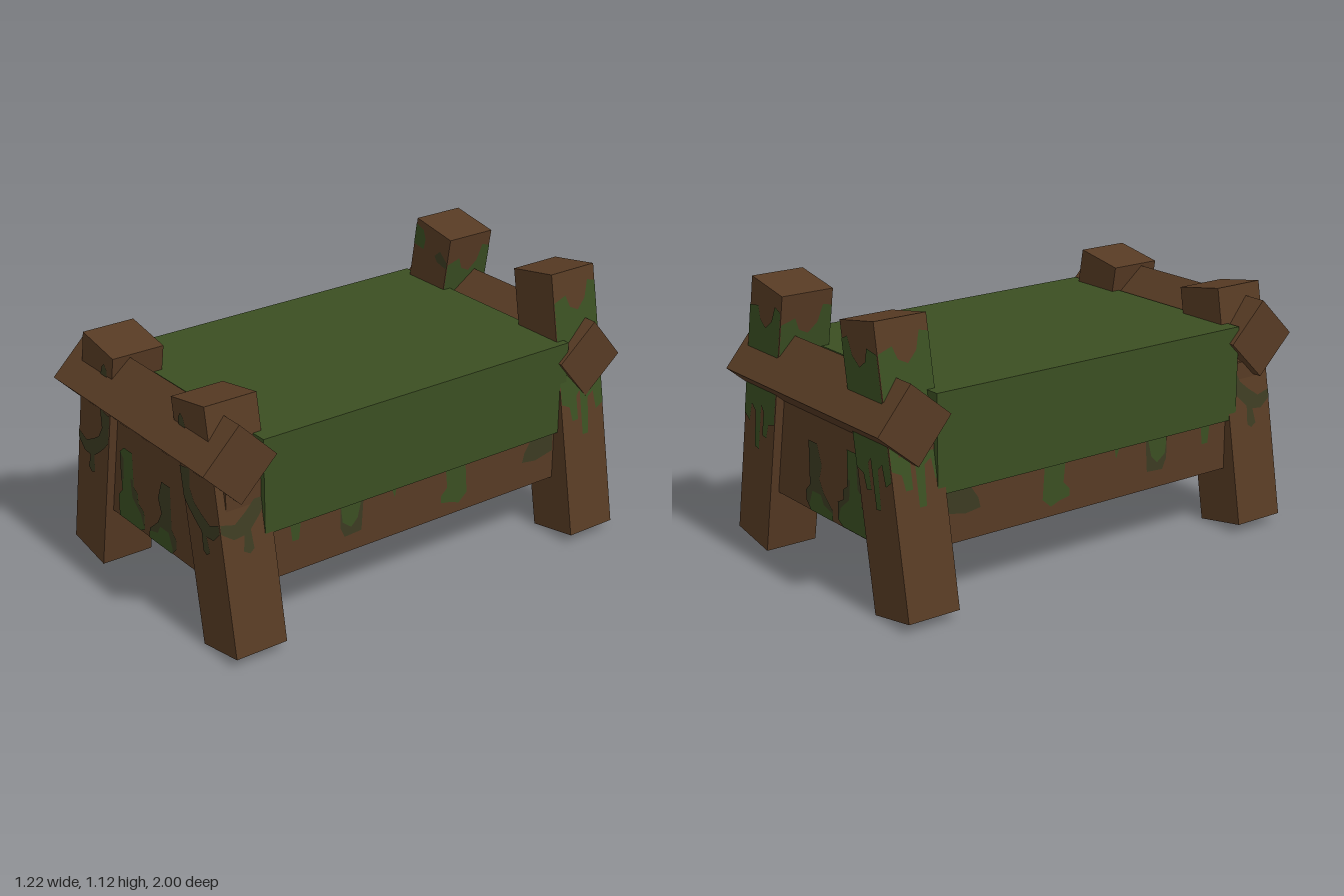
import * as THREE from 'three';

const wood = new THREE.MeshStandardMaterial({ color: 0x573b24 });
const cloth = new THREE.MeshStandardMaterial({ color: 0x3b4f22 });
const moss = new THREE.MeshStandardMaterial({ color: 0x3a4f22 });
const darkMoss = new THREE.MeshStandardMaterial({ color: 0x3c3b22 });
wood.name = 'wood';
cloth.name = 'greenCloth';
moss.name = 'moss';
darkMoss.name = 'darkMoss';

function box(name, mat, w, h, d, x, y, z) {
  const m = new THREE.Mesh(new THREE.BoxGeometry(w, h, d), mat);
  m.name = name;
  m.position.set(x, y, z);
  return m;
}

// Flat stain facing +z, given as [x, y] points; flip mirrors it in x
function stain(name, mat, points, flip = 1) {
  const shape = new THREE.Shape(points.map(([x, y]) => new THREE.Vector2(x * flip, y)));
  const m = new THREE.Mesh(new THREE.ShapeGeometry(shape), mat);
  m.name = name;
  return m;
}

// Stain outlines on the legs, x across the face and y up the leg
const BRANCH = [[-.11, .525], [-.05, .51], [0, .545], [.04, .58], [.06, .63], [.04, .71], [.11, .71],
  [.11, .585], [.085, .55], [.05, .51], [.015, .475], [.02, .40], [0, .385], [-.025, .40],
  [-.015, .46], [-.06, .455], [-.11, .49]];
const DRIPS = [[-.11, .70], [.11, .70], [.11, .56], [.07, .54], [.06, .48], [.03, .48], [.03, .58],
  [.01, .6], [.01, .41], [-.02, .41], [-.03, .56], [-.06, .58], [-.07, .5], [-.11, .52]];
const DRAPE = [[-.11, .76], [.11, .76], [.11, 1.03], [.07, 1.04], [.05, .97], [.01, .93], [-.03, .95],
  [-.05, 1.0], [-.11, .98]];
const CORNER = [[-.11, .98], [-.045, .98], [-.04, 1.03], [-.06, 1.065], [-.11, 1.075]];
const SPOT = [[.03, .985], [.05, .965], [.11, .96], [.11, .99], [.06, 1.02]];
const LOW_SPOT = [[.03, .85], [.08, .85], [.075, .9], [.055, .92], [.04, .9]];

const SIZE = 0.223, HALF = SIZE / 2 + 0.003;

// Leaning leg; side is -1 or +1 in x
function leg(name, side, x, z, height, isBack) {
  const g = new THREE.Group();
  g.name = name;
  g.add(box('post', wood, SIZE, height, SIZE, 0, height / 2, 0));
  // Places a stain on the face turned by angle about the leg
  const put = (mat, pts, angle, flip) => {
    const s = stain('legStain', mat, pts, flip);
    s.rotation.y = angle;
    s.position.set(Math.sin(angle) * HALF, 0, Math.cos(angle) * HALF);
    g.add(s);
  };
  const outer = side * Math.PI / 2;
  if (isBack) {
    put(moss, DRIPS, Math.PI, side);
    put(moss, DRAPE, Math.PI, side);
    put(moss, DRIPS, outer, -1);
    put(moss, DRAPE, outer, 1);
    put(moss, DRAPE, -outer, 1);
    if (side < 0) {
      put(moss, CORNER, 0, 1);
      put(darkMoss, SPOT, 0, 1);
    }
  } else {
    put(darkMoss, BRANCH, 0, -side);
    put(darkMoss, LOW_SPOT, 0, -side);
    put(darkMoss, BRANCH, outer, side);
  }
  g.position.set(x, 0.02, z);
  g.rotation.z = side * THREE.MathUtils.degToRad(10);
  return g;
}

export function createModel() {
  const model = new THREE.Group();
  model.name = 'bed';

  // Wooden base and covering blanket
  const baseW = 0.985, baseX = -0.015, baseZ = 0.885;
  model.add(box('base', wood, baseW, 0.435, baseZ * 2, baseX, 0.4725, 0));
  model.add(box('blanket', cloth, 1.03, 0.385, 1.466, -0.015, 0.6575, 0));

  // Turned crossbars at both ends
  const frontBar = box('frontCrossbar', wood, 1.065, SIZE, SIZE, -0.0175, 0.787, 0.843);
  frontBar.rotation.x = Math.PI / 4;
  const backBar = box('backCrossbar', wood, 1.065, SIZE, SIZE, -0.0175, 0.757, -0.842);
  backBar.rotation.x = Math.PI / 4 - 0.09;
  model.add(frontBar, backBar);

  // Legs, the back pair taller
  model.add(
    leg('frontRightLeg', -1, -0.5, 0.808, 0.97, false),
    leg('frontLeftLeg', 1, 0.466, 0.808, 0.97, false),
    leg('backRightLeg', -1, -0.5, -0.81, 1.097, true),
    leg('backLeftLeg', 1, 0.5, -0.81, 1.097, true));

  // Stains on the end boards
  const endStains = [
    [moss, .003, [[-.29, .258], [-.29, .35], [-.26, .38], [-.26, .55], [-.23, .575], [-.17, .575], [-.17, .43],
      [-.14, .41], [-.14, .37], [-.1, .35], [-.1, .275], [-.13, .258]]],
    [darkMoss, .005, [[-.19, .46], [-.17, .46], [-.17, .43], [-.14, .41], [-.14, .37], [-.1, .35], [-.1, .275],
      [-.12, .33], [-.18, .38]]],
    [darkMoss, .005, [[-.26, .42], [-.26, .55], [-.235, .53], [-.24, .44]]],
    [darkMoss, .003, [[-.06, .27], [-.06, .3], [0, .35], [.03, .4], [.01, .46], [.04, .54], [.1, .54], [.1, .36],
      [.13, .33], [.13, .29], [.1, .258], [-.05, .258]]],
    [moss, .005, [[-.065, .258], [-.06, .29], [0, .305], [.02, .34], [.08, .34], [.105, .28], [.1, .258]]],
  ];
  for (const end of [1, -1]) {
    for (const [mat, lift, pts] of endStains) {
      const s = stain('endStain', mat, pts, end);
      s.position.z = end * (baseZ + lift);
      if (end < 0) s.rotation.y = Math.PI;
      model.add(s);
    }
  }

  // Stains hanging below the blanket on the long sides, x running along z
  const sideStains = [
    [moss, .003, [[-.61, .47], [-.56, .47], [-.57, .385], [-.6, .385]]],
    [darkMoss, .003, [[-.38, .47], [-.27, .47], [-.28, .33], [-.36, .325], [-.38, .37]]],
    [moss, .005, [[-.38, .47], [-.28, .47], [-.3, .39], [-.33, .36], [-.37, .39]]],
    [moss, .003, [[-.14, .47], [-.11, .47], [-.12, .42]]],
    [moss, .003, [[.13, .47], [.23, .47], [.24, .33], [.2, .295], [.16, .31], [.11, .32], [.11, .35], [.14, .38]]],
    [darkMoss, .003, [[.58, .47], [.69, .47], [.69, .38], [.6, .36], [.53, .37], [.54, .41]]],
  ];
  for (const side of [1, -1]) {
    for (const [mat, lift, pts] of sideStains) {
      const s = stain('sideStain', mat, pts, side);
      s.rotation.y = side * Math.PI / 2;
      s.position.x = baseX + side * (baseW / 2 + lift);
      model.add(s);
    }
  }

  return model;
}
